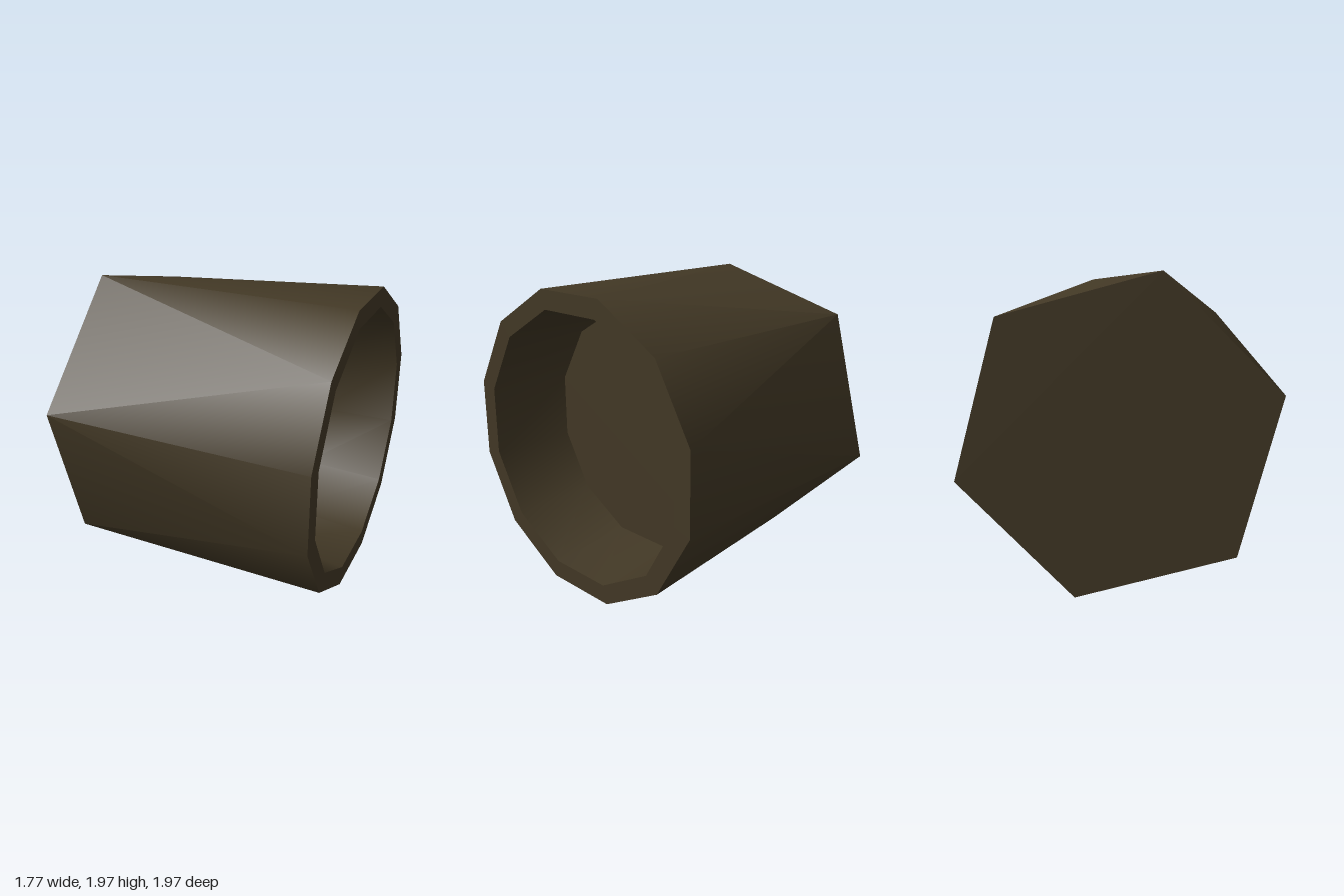
import * as THREE from 'three';
import { toCreasedNormals } from 'three/addons/utils/BufferGeometryUtils.js';

const RIM_X = 0.885, BACK_X = -0.885, FLOOR_X = 0.32;
const CENTRE_Y = 0.98, CREASE = 0.56;

// Ring of points around the x axis, starting at 15 degrees and stepping downwards at the front
function ring(count, radius, x, zShift = 0) {
  return Array.from({ length: count }, (_, i) => {
    const a = Math.PI / 12 - (i * Math.PI * 2) / count;
    return [x, CENTRE_Y + radius * Math.sin(a), zShift + radius * Math.cos(a)];
  });
}

function mesh(name, triangles, material) {
  const geometry = new THREE.BufferGeometry();
  geometry.setAttribute('position', new THREE.Float32BufferAttribute(triangles.flat(2), 3));
  const result = new THREE.Mesh(toCreasedNormals(geometry, CREASE), material);
  result.name = name;
  return result;
}

// Band of quads between two rings of equal count
function band(a, b) {
  return a.flatMap((p, i) => {
    const j = (i + 1) % a.length;
    return [[p, b[i], b[j]], [p, b[j], a[j]]];
  });
}

// Flat polygon closed by a fan
function cap(points) {
  return points.slice(2).map((p, i) => [points[0], points[i + 1], p]);
}

export function createModel() {
  const group = new THREE.Group();
  group.name = 'cup';
  const brown = new THREE.MeshStandardMaterial({ color: 0x423825 });
  brown.name = 'darkBrown';

  const back = ring(6, 1.013, BACK_X, -0.005);
  const outer = ring(12, 1.018, RIM_X, 0.005);
  const mouth = ring(12, 0.89, RIM_X, 0.005);
  const floor = ring(12, 0.83, FLOOR_X);

  // Outer shell runs from a six-sided back to a twelve-sided rim
  const shell = back.flatMap((p, i) => {
    const next = back[(i + 1) % 6];
    const d0 = outer[i * 2], d1 = outer[i * 2 + 1], d2 = outer[(i * 2 + 2) % 12];
    return [[p, d1, d0], [p, next, d1], [next, d2, d1]];
  });

  group.add(
    mesh('outerShell', shell, brown),
    mesh('backCap', cap([...back].reverse()), brown),
    mesh('rim', band(mouth, outer), brown),
    mesh('innerWall', band(floor, mouth), brown),
    mesh('innerFloor', cap(floor), brown)
  );
  return group;
}
